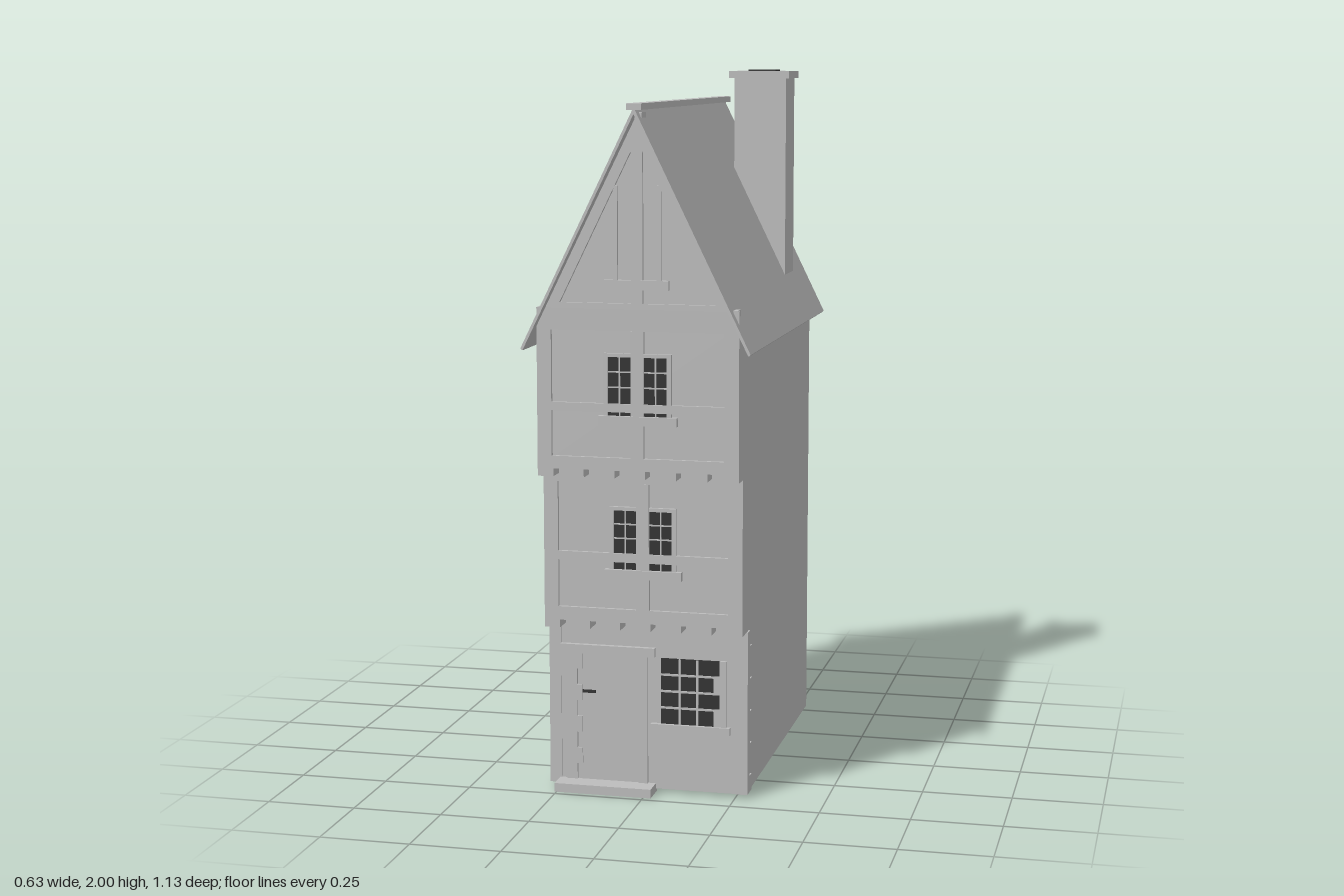
import * as THREE from 'three';

export function createModel() {
  const house = new THREE.Group();
  house.name = 'townHouse';
  const grey = new THREE.MeshStandardMaterial({ color: 0xbcbcbc, side: THREE.DoubleSide });
  grey.name = 'stone grey';
  const dark = new THREE.MeshStandardMaterial({ color: 0x333333 });
  dark.name = 'dark glass';

  const add = (name, geo, mat = grey) => {
    const m = new THREE.Mesh(geo, mat);
    m.name = name;
    house.add(m);
    return m;
  };
  // Box given by its limits on each axis
  const box = (name, x0, x1, y0, y1, z0, z1, mat = grey) =>
    add(name, new THREE.BoxGeometry(x1 - x0, y1 - y0, z1 - z0)
      .translate((x0 + x1) / 2, (y0 + y1) / 2, (z0 + z1) / 2), mat);
  const poly = (pts) => new THREE.Shape(pts.map(([x, y]) => new THREE.Vector2(x, y)));

  const W = 0.28, BACK = -0.52, EAVE = 1.33, RIDGE = 1.895, RECESS = 0.01;
  const Z = [0.42, 0.48, 0.535];          // front of each storey
  const Y = [0.01, 0.495, 0.93];          // foot of each storey

  // Stepped side walls
  for (const s of [-1, 1]) {
    const outline = [[BACK, Y[0]], [Z[0], Y[0]], [Z[0], Y[1]], [Z[1], Y[1]],
      [Z[1], Y[2]], [Z[2], Y[2]], [Z[2], EAVE], [BACK, EAVE]];
    const geo = new THREE.ShapeGeometry(poly(outline.map(([z, y]) => [-s * z, y])));
    add('sideWall', geo.rotateY(s * Math.PI / 2).translate(s * W, 0, 0));
  }

  // Gabled back wall and upper front wall, open below
  const gabled = (y0) => new THREE.ShapeGeometry(
    poly([[-W, y0], [W, y0], [W, EAVE], [0, RIDGE], [-W, EAVE]]));
  add('backWall', gabled(Y[0]).rotateY(Math.PI).translate(0, 0, BACK));
  add('upperFrontWall', gabled(Y[2]).translate(0, 0, Z[2] - RECESS));
  add('groundFrontWall', new THREE.PlaneGeometry(2 * W, Y[1] - Y[0])
    .translate(0, (Y[0] + Y[1]) / 2, Z[0]));
  add('middleFrontWall', new THREE.PlaneGeometry(2 * W, Y[2] - Y[1])
    .translate(0, (Y[1] + Y[2]) / 2, Z[1] - RECESS));

  // Overhanging floors carried on joist ends
  for (const i of [1, 2]) {
    const depth = Z[i] - Z[i - 1];
    add('overhangSoffit', new THREE.PlaneGeometry(2 * W, depth + RECESS).rotateX(Math.PI / 2)
      .translate(0, Y[i], (Z[i] + Z[i - 1] - RECESS) / 2));
    for (let k = 0; k < 7; k++) {
      const x = -0.258 + k * 0.086;
      box('joistEnd', x - 0.022, x + 0.022, Y[i] - 0.022, Y[i], Z[i - 1] - RECESS, Z[i]);
    }
  }

  // Timber frame and paired windows of an upper storey
  const storey = (z, foot, panelFoot, rail0, rail1, head, top, win) => {
    const zb = z - RECESS;
    const rail = (y0, y1) => box('timberRail', -0.24, 0.24, y0, y1, zb, z);
    rail(foot, panelFoot);
    rail(rail0, rail1);
    rail(head, top);
    for (const s of [-1, 1]) box('cornerPost', s * 0.26 - 0.02, s * 0.26 + 0.02, foot, top, zb, z);
    box('centrePost', -0.018, 0.018, panelFoot, head, zb, z + 0.001);
    for (const s of [-1, 1]) {
      const c = s * 0.05;
      box('windowPane', c - 0.032, c + 0.032, win.y0, win.y1, zb, zb + 0.004, dark);
      box('windowBar', c - 0.002, c + 0.002, win.y0, win.y1, zb, zb + 0.006);
      for (const t of [0.35, 0.68]) {
        const y = rail1 + t * (win.y1 - rail1);
        box('windowBar', c - 0.032, c + 0.032, y - 0.002, y + 0.002, zb, zb + 0.006);
      }
      box('windowJamb', s * 0.088 - 0.006, s * 0.088 + 0.006, win.y0, win.y1 + 0.01, zb, z);
    }
    box('windowHead', -0.094, 0.094, win.y1, win.y1 + 0.01, zb, z);
    box('windowSill', -0.107, 0.11, win.y0 - 0.025, win.y0, zb, z + 0.006);
  };
  storey(Z[1], Y[1], 0.533, 0.665, 0.69, 0.885, 0.93, { y0: 0.645, y1: 0.81 });
  storey(Z[2], Y[2], 0.965, 1.09, 1.113, 1.31, 1.37, { y0: 1.08, y1: 1.24 });

  // Timber frame of the gable, with two panels cut out
  const gable = poly([[-0.255, 1.37], [0.255, 1.37], [0, 1.885]]);
  for (const s of [-1, 1]) {
    gable.holes.push(new THREE.Path([[0.016, 1.385], [0.215, 1.385], [0.016, 1.79]]
      .map(([x, y]) => new THREE.Vector2(s * x, y))));
  }
  add('gableFrame', new THREE.ExtrudeGeometry(gable, { depth: RECESS, bevelEnabled: false })
    .translate(0, 0, Z[2] - RECESS));
  box('gableCollar', -0.09, 0.088, 1.422, 1.448, Z[2] - RECESS, Z[2] + 0.006);
  for (const s of [-1, 1]) box('gableStud', s * 0.06 - 0.006, s * 0.06 + 0.006, 1.448, 1.7, Z[2] - RECESS, Z[2] - 0.002);
  box('purlinBeam', -0.275, 0.275, 1.355, 1.372, 0.487, 0.532);
  box('ridgeBeam', -0.014, 0.014, 1.877, 1.893, 0.487, 0.536);

  // Alternating corner stones
  const COURSES = 10, H = (Y[1] - 0.022 - Y[0]) / COURSES;
  for (const s of [-1, 1]) {
    for (let k = 0; k < COURSES; k++) {
      const long = k % 2 ? 0.03 : 0.055;
      const a = s * 0.284, b = s * 0.25;
      box('cornerStone', Math.min(a, b), Math.max(a, b), Y[0] + k * H, Y[0] + (k + 1) * H,
        Z[0] - long, Z[0] + 0.003);
    }
  }

  // Door with stone jamb, lintel and step
  box('door', -0.2, -0.025, 0.025, 0.39, Z[0] - 0.006, Z[0] + 0.003);
  for (let k = 0; k < 8; k++) {
    const y = 0.025 + k * 0.0456;
    box('doorJambStone', -0.235, k % 2 ? -0.188 : -0.203, y, y + 0.0456, Z[0] - 0.01, Z[0] + 0.008);
  }
  box('doorPost', -0.026, 0, 0.025, 0.39, Z[0] - 0.01, Z[0] + 0.008);
  box('doorLintel', -0.25, 0.022, 0.39, 0.415, Z[0] - 0.01, Z[0] + 0.014);
  box('doorStep', -0.255, 0.022, 0, 0.025, 0.41, 0.483);
  box('doorHandle', -0.188, -0.15, 0.276, 0.284, Z[0] + 0.002, Z[0] + 0.008, dark);

  // Ground floor window
  box('shopWindowPane', 0.038, 0.208, 0.2, 0.387, Z[0], Z[0] + 0.004, dark);
  for (const x of [0.092, 0.142]) box('shopWindowBar', x - 0.003, x + 0.003, 0.2, 0.387, Z[0], Z[0] + 0.007);
  for (const y of [0.247, 0.294, 0.341]) box('shopWindowBar', 0.038, 0.208, y - 0.003, y + 0.003, Z[0], Z[0] + 0.007);
  for (let k = 0; k < 4; k++) {
    const y = 0.2 + k * 0.047;
    box('windowJambStone', k % 2 ? 0.205 : 0.188, 0.225, y, y + 0.047, Z[0], Z[0] + 0.008);
  }
  box('shopWindowSill', 0.01, 0.235, 0.178, 0.2, Z[0] - 0.01, Z[0] + 0.014);

  // Thin steep roof and ridge cap
  const roof = poly([[0, 1.907], [0.317, 1.26], [0.311, 1.255], [0, RIDGE - 0.006],
    [-0.311, 1.255], [-0.317, 1.26]]);
  add('roof', new THREE.ExtrudeGeometry(roof, { depth: 1.13, bevelEnabled: false })
    .translate(0, 0, -0.565));
  box('ridgeCap', -0.02, 0.02, 1.9, 1.917, -0.565, 0.565);

  // Chimney
  box('chimney', 0.095, 0.25, 1.39, 1.975, -0.4, -0.268);
  box('chimneyCap', 0.08, 0.26, 1.975, 1.996, -0.415, -0.26);
  box('chimneyFlue', 0.13, 0.212, 1.99, 2, -0.373, -0.302, dark);

  return house;
}
